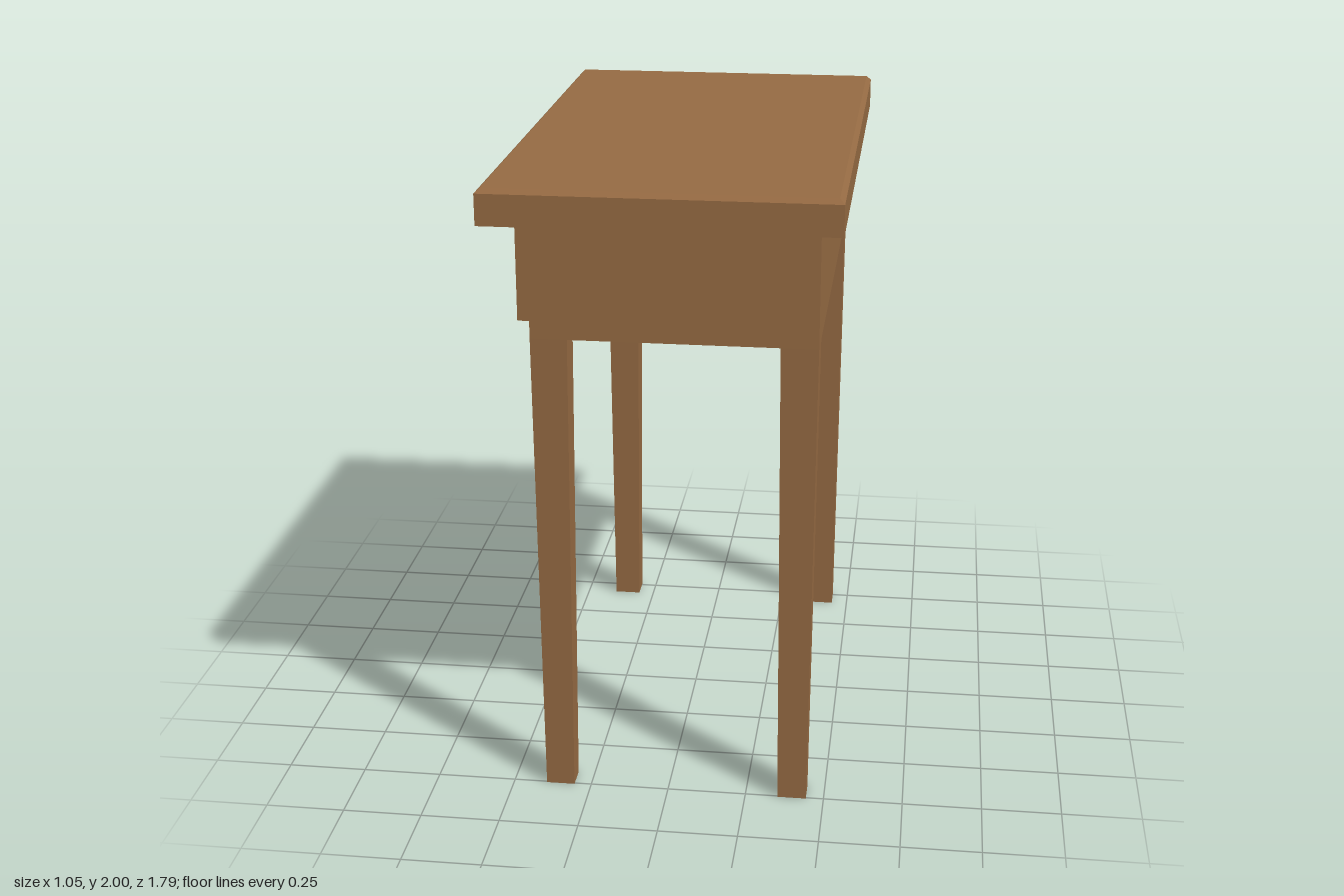
import * as THREE from 'three';

const wood = new THREE.MeshStandardMaterial({ color: 0x966b43, flatShading: true });
const knobRed = new THREE.MeshStandardMaterial({ color: 0xb06040 });

// Box between two corners; the chosen end (+1 top, -1 bottom) is inset on all four sides
function block(name, min, max, insetX = 0, insetZ = insetX, end = 1) {
  const size = max.map((v, i) => v - min[i]);
  const geo = new THREE.BoxGeometry(...size);
  const p = geo.attributes.position;
  for (let i = 0; i < p.count; i++) {
    if (p.getY(i) * end > 0) {
      p.setX(i, p.getX(i) - Math.sign(p.getX(i)) * insetX);
      p.setZ(i, p.getZ(i) - Math.sign(p.getZ(i)) * insetZ);
    }
  }
  geo.computeVertexNormals();
  const mesh = new THREE.Mesh(geo, wood);
  mesh.name = name;
  mesh.position.set(...max.map((v, i) => (v + min[i]) / 2));
  return mesh;
}

export function createModel() {
  const table = new THREE.Group();
  table.name = 'sideTable';

  // Table top with a small chamfer around its upper edge
  table.add(block('tableTop', [-0.528, 1.89, -0.893], [0.525, 1.985, 0.893]));
  table.add(block('tableTopChamfer', [-0.528, 1.985, -0.893], [0.525, 2, 0.893], 0.015));

  // Apron box under the top
  table.add(block('apron', [-0.405, 1.515, -0.765], [0.455, 1.89, 0.765]));

  // Four legs, slightly tapered towards the floor
  for (const [side, x0, x1] of [['right', -0.405, -0.293], ['left', 0.342, 0.455]]) {
    for (const [place, z0, z1] of [['Front', 0.668, 0.765], ['Back', -0.765, -0.668]]) {
      table.add(block(`${side}${place}Leg`, [x0, 0, z0], [x1, 1.515, z1], 0.011, 0.01, -1));
    }
  }

  // Drawer front and its round knob
  table.add(block('drawerFront', [-0.46, 1.54, -0.675], [-0.405, 1.875, 0.675]));
  const knob = new THREE.Mesh(new THREE.SphereGeometry(0.065, 8, 8), knobRed);
  knob.name = 'drawerKnob';
  knob.position.set(-0.456, 1.706, 0);
  table.add(knob);

  return table;
}
